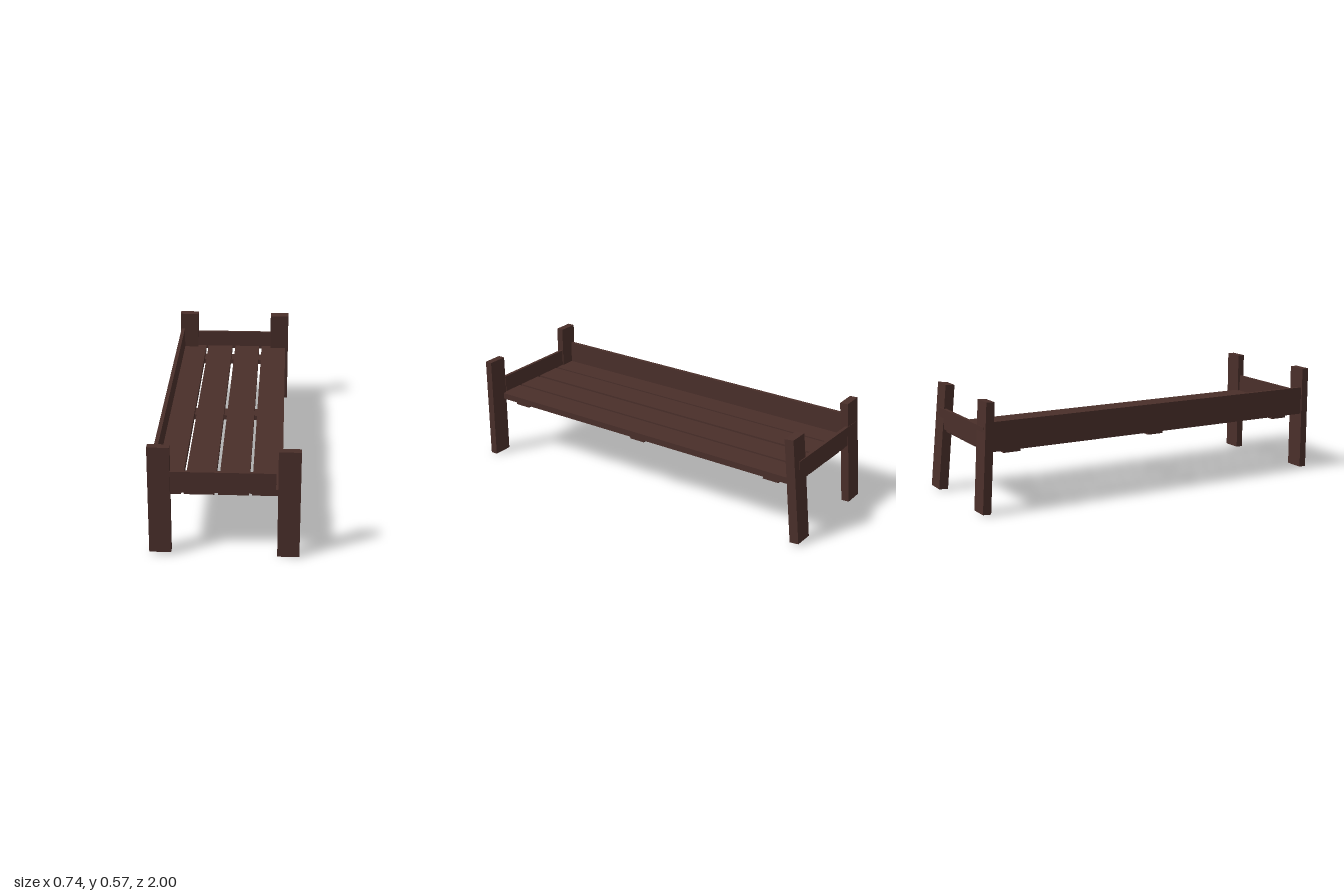
import * as THREE from 'three';

const wood = new THREE.MeshStandardMaterial({ color: 0x4a2f2a, flatShading: true });

export function createModel() {
  const bed = new THREE.Group();
  bed.name = 'bed';

  // Straight board given by its extents on each axis
  const board = (name, [x0, x1], [y0, y1], [z0, z1]) => {
    const mesh = new THREE.Mesh(new THREE.BoxGeometry(x1 - x0, y1 - y0, z1 - z0), wood);
    mesh.position.set((x0 + x1) / 2, (y0 + y1) / 2, (z0 + z1) / 2);
    mesh.name = name;
    bed.add(mesh);
    return mesh;
  };

  // Leaning leg whose axis runs from a bottom point to a top point
  const leaningLeg = (name, width, depth, bottom, top) => {
    const a = new THREE.Vector3(...bottom), b = new THREE.Vector3(...top);
    const axis = b.clone().sub(a);
    const mesh = new THREE.Mesh(new THREE.BoxGeometry(width, axis.length(), depth), wood);
    mesh.quaternion.setFromUnitVectors(new THREE.Vector3(0, 1, 0), axis.normalize());
    mesh.position.copy(a).add(b).multiplyScalar(0.5);
    mesh.name = name;
    bed.add(mesh);
  };

  // Legs: upright at the front, leaning at the back
  board('frontRightLeg', [-0.363, -0.256], [0.012, 0.574], [0.961, 1]);
  board('frontLeftLeg', [0.26, 0.368], [0, 0.562], [0.961, 1]);
  leaningLeg('backRightLeg', 0.108, 0.044, [-0.315, 0.007, -0.964], [-0.304, 0.567, -0.927]);
  leaningLeg('backLeftLeg', 0.107, 0.05, [0.243, 0.008, -0.971], [0.243, 0.565, -0.917]);

  // Lengthwise slats
  [[-0.345, -0.205], [-0.192, -0.045], [-0.027, 0.12], [0.135, 0.28]].forEach((x, i) =>
    board(`slat${i + 1}`, x, [0.316, 0.35], [-0.945, 0.97]));

  // Cross battens under the slats
  [-0.81, 0.018, 0.822].forEach((z, i) =>
    board(`batten${i + 1}`, [-0.34, 0.275], [0.303, 0.328], [z - 0.045, z + 0.045]));

  // Side rail and end boards
  board('sideRail', [-0.355, -0.335], [0.318, 0.468], [-0.94, 0.965]);
  board('frontBoard', [-0.335, 0.25], [0.333, 0.441], [0.967, 0.984]);
  board('backBoard', [-0.335, 0.25], [0.333, 0.441], [-0.959, -0.942]);

  return bed;
}
